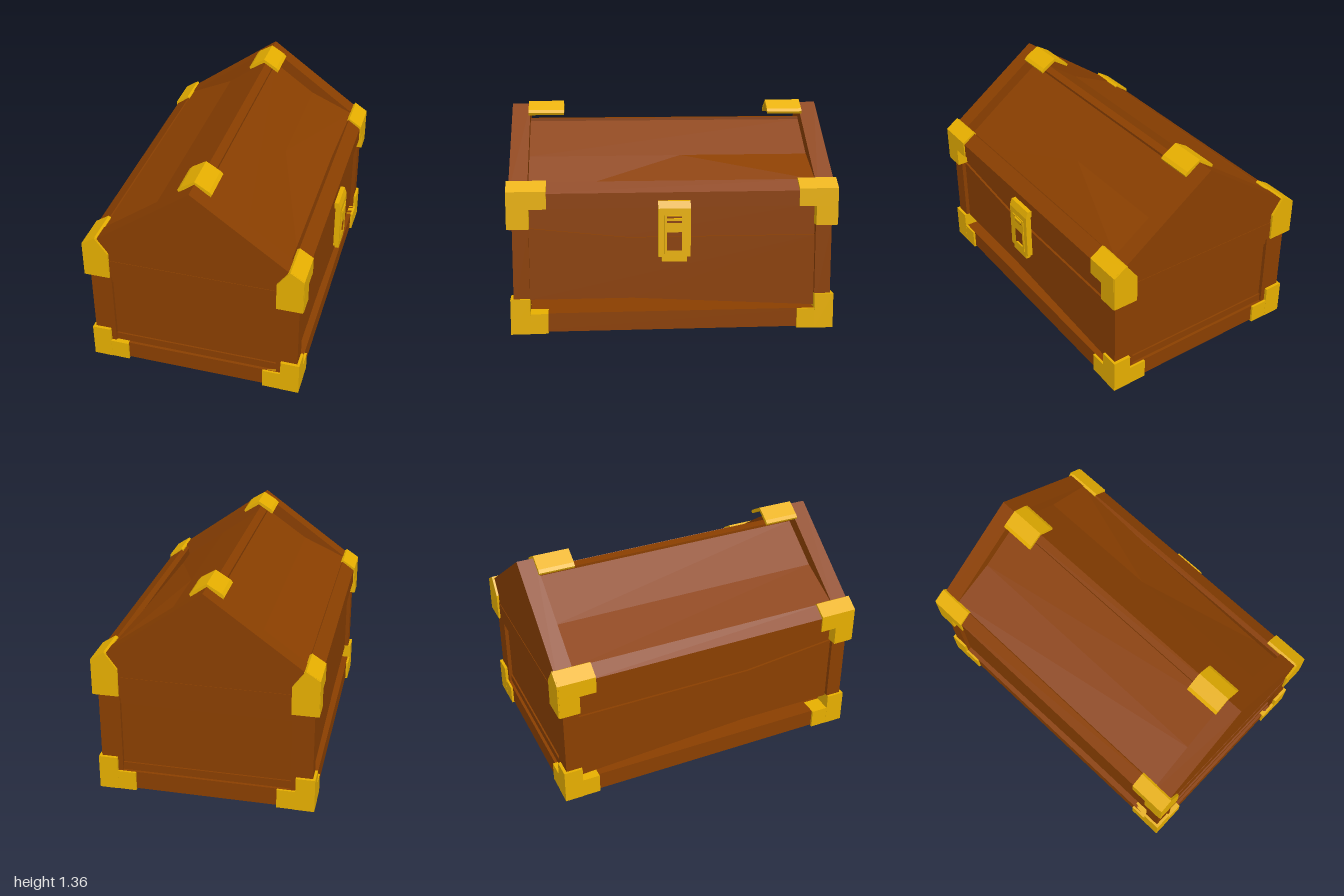
import * as THREE from 'three';

const wood = new THREE.MeshStandardMaterial({ color: 0x8a3f00 });
wood.name = 'brown wood';
const gold = new THREE.MeshStandardMaterial({ color: 0xe8b000 });
gold.name = 'golden metal';

export function createModel() {
  const chest = new THREE.Group();
  chest.name = 'chest';
  const inner = new THREE.Group();
  inner.name = 'chestParts';
  inner.position.x = -0.022;
  chest.add(inner);

  const add = (name, geo, mat) => {
    const mesh = new THREE.Mesh(geo, mat);
    mesh.name = name;
    inner.add(mesh);
  };
  // box between two opposite corners, in any order
  const box = (name, mat, x0, x1, y0, y1, z0, z1) => {
    const geo = new THREE.BoxGeometry(Math.abs(x1 - x0), y1 - y0, Math.abs(z1 - z0));
    geo.translate((x0 + x1) / 2, (y0 + y1) / 2, (z0 + z1) / 2);
    add(name, geo, mat);
  };
  const shapeOf = (pts, sx = 1) => new THREE.Shape(pts.map(([x, y]) => new THREE.Vector2(x * sx, y)));
  // xy outline extruded from z0 to z1
  const prism = (name, mat, pts, z0, z1, sx = 1) => {
    const geo = new THREE.ExtrudeGeometry(shapeOf(pts, sx), { depth: Math.abs(z1 - z0), bevelEnabled: false });
    geo.translate(0, 0, Math.min(z0, z1));
    add(name, geo, mat);
  };
  // zy outline extruded from x0 to x1
  const sidePlate = (name, mat, pts, x0, x1, holes = []) => {
    const shape = shapeOf(pts, -1);
    holes.forEach((h) => shape.holes.push(shapeOf(h, -1)));
    const geo = new THREE.ExtrudeGeometry(shape, { depth: x1 - x0, bevelEnabled: false });
    geo.rotateY(Math.PI / 2);
    geo.translate(x0, 0, 0);
    add(name, geo, mat);
  };
  const rect = (z, y0, y1) => [[-z, y0], [z, y0], [z, y1], [-z, y1]];

  // base slab
  box('base', wood, -0.646, 0.646, 0.015, 0.13, -0.97, 0.97);

  // long side walls, raised off the base with a tapering gap; the upper band sits deeper
  const band = [[0.88, 0.5], [-0.88, 0.5], [-0.88, 0.78], [0.88, 0.78]];
  const panel = [[0.88, 0.21], [0.25, 0.21], [-0.88, 0.143], [-0.88, 0.585], [0.27, 0.585], [0.88, 0.65]];
  for (const [side, sx] of [['left', 1], ['right', -1]]) {
    sidePlate(side + 'UpperBand', wood, band, sx > 0 ? 0.57 : -0.606, sx > 0 ? 0.606 : -0.57);
    sidePlate(side + 'Panel', wood, panel, sx > 0 ? 0.57 : -0.62, sx > 0 ? 0.62 : -0.57);
  }

  for (const sz of [-1, 1]) {
    // recessed end panel with sill and top rail
    box('endPanel', wood, -0.53, 0.53, 0.13, 0.65, sz * 0.9, sz * 0.942);
    box('endSill', wood, -0.515, 0.515, 0.13, 0.18, sz * 0.93, sz * 0.952);
    box('endTopRail', wood, -0.515, 0.515, 0.59, 0.65, sz * 0.93, sz * 0.955);
    // gable of the lid and its lower rail
    prism('gable', wood, [[-0.665, 0.65], [0.665, 0.65], [0.665, 0.863], [0, 1.345], [-0.665, 0.863]],
      sz * 0.87, sz * 0.983);
    box('gableRail', wood, -0.66, 0.66, 0.652, 0.775, sz * 0.98, sz * 0.986);
    // golden ridge cap
    prism('ridgeCap', gold, [[-0.095, 1.278], [-0.102, 1.292], [-0.085, 1.31], [0, 1.362], [0.085, 1.31],
      [0.102, 1.292], [0.095, 1.278], [0, 1.34]], sz * 0.655, sz * 0.88);

    for (const sx of [-1, 1]) {
      // corner post
      box('cornerPost', wood, sx * 0.515, sx * 0.645, 0.13, 0.65, sz * 0.868, sz * 0.966);
      // golden foot: upright plus two arms
      box('footUpright', gold, sx * 0.545, sx * 0.661, 0.006, 0.222, sz * 0.868, sz * 0.985);
      box('footEndArm', gold, sx * 0.433, sx * 0.66, 0.007, 0.13, sz * 0.869, sz * 0.984);
      box('footSideArm', gold, sx * 0.546, sx * 0.66, 0.007, 0.13, sz * 0.76, sz * 0.984);
      // golden lid corner: side wrap, upright and end plate
      prism('lidCornerWrap', gold, [[0.575, 0.773], [0.673, 0.773], [0.673, 0.88], [0.59, 0.934], [0.575, 0.925]],
        sz * 0.76, sz * 0.99, sx);
      box('lidCornerUpright', gold, sx * 0.515, sx * 0.673, 0.653, 0.78, sz * 0.865, sz * 0.99);
      prism('lidCornerPlate', gold, [[0.512, 0.655], [0.671, 0.655], [0.671, 0.88], [0.588, 0.935], [0.512, 0.83]],
        sz * 0.975, sz * 0.998, sx);
    }
  }

  // lid side beams
  for (const sx of [-1, 1]) {
    prism('lidBeam', wood, [[0.56, 0.775], [0.665, 0.775], [0.665, 0.866], [0.585, 0.924], [0.56, 0.9]],
      -0.875, 0.875, sx);
  }

  // recessed roof with a narrow flat ridge; the right slope flares out to the beam
  prism('roof', wood, [[-0.58, 0.918], [-0.3, 1.045], [-0.03, 1.234], [-0.03, 1.25], [0.03, 1.25], [0.03, 1.234],
    [0.3, 1.04], [0.6, 0.818], [0.57, 0.8], [0, 1.205], [-0.57, 0.8]], -0.875, 0.875);
  // flare of the left slope, fading out towards the front
  const kinkBack = [0.3, 1.041, -0.872], kinkMid = [0.3, 1.041, -0.07];
  const beamBack = [0.58, 0.918, -0.872], beamFront = [0.58, 0.834, 0.75];
  const flare = new THREE.BufferGeometry();
  flare.setAttribute('position', new THREE.Float32BufferAttribute(
    [kinkBack, kinkMid, beamBack, kinkMid, beamFront, beamBack].flat(), 3));
  flare.computeVertexNormals();
  add('roofFlare', flare, wood);

  // lock: flat plate with a square window and a barred slot
  const slots = [rect(0.045, 0.52, 0.632), rect(0.045, 0.688, 0.728)];
  sidePlate('lockPlate', gold, rect(0.097, 0.482, 0.775), 0.672, 0.707, slots);
  prism('lockHead', gold, [[0.66, 0.775], [0.707, 0.775], [0.692, 0.818], [0.66, 0.818]], -0.097, 0.097);
  sidePlate('lockWindowFrame', gold, rect(0.062, 0.5, 0.735), 0.7, 0.712, slots);
  box('lockTab', gold, 0.677, 0.705, 0.452, 0.49, -0.075, 0.075);
  box('lockBar', gold, 0.69, 0.712, 0.7, 0.713, -0.045, 0.045);

  return chest;
}
